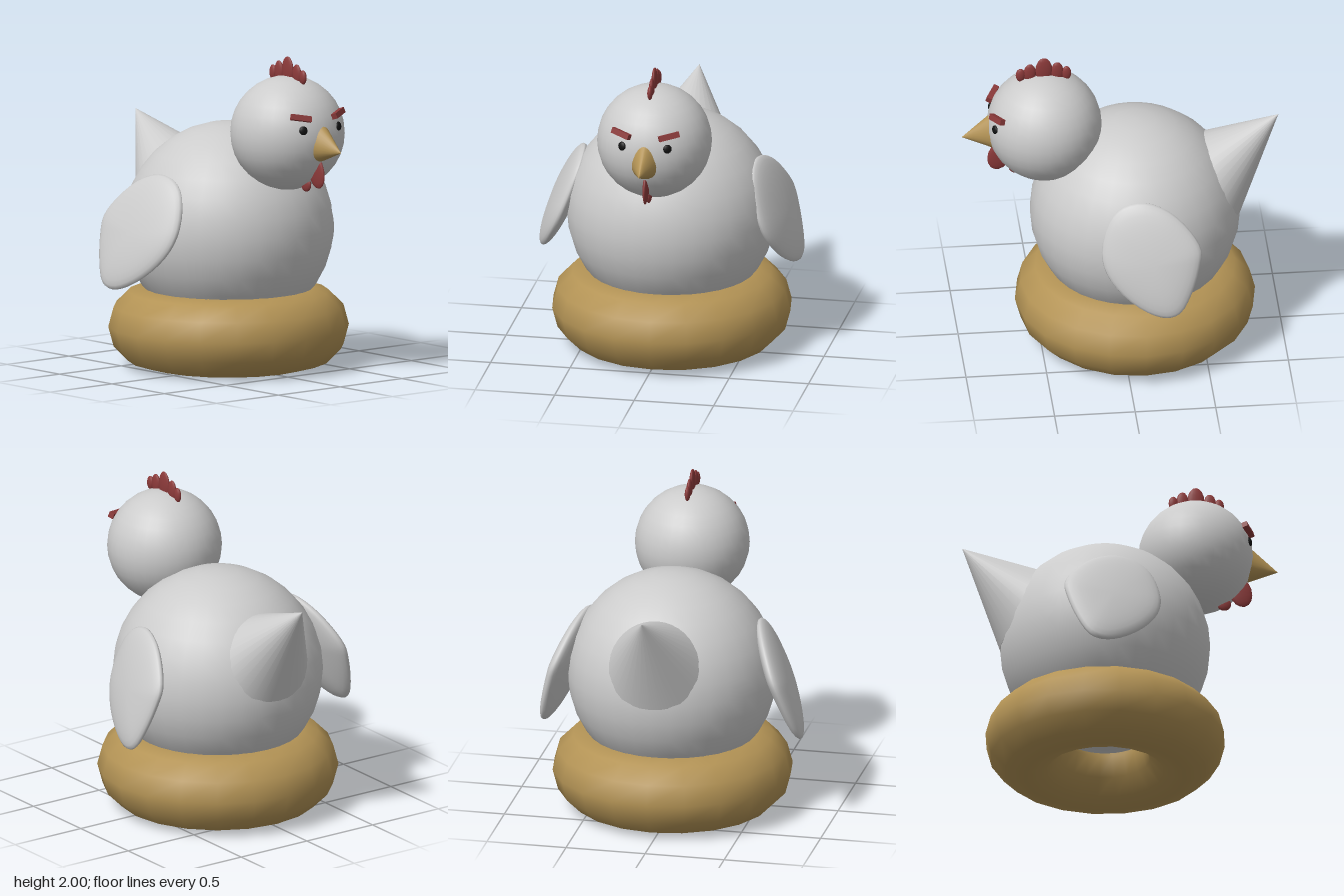
import * as THREE from 'three';
import { mergeVertices } from 'three/addons/utils/BufferGeometryUtils.js';

const CX = 0.025; // symmetry plane of the bird
const grey = new THREE.MeshStandardMaterial({ color: 0xcccccc });
const tan = new THREE.MeshStandardMaterial({ color: 0xb39355 });
const red = new THREE.MeshStandardMaterial({ color: 0x8c3a3a });
const black = new THREE.MeshStandardMaterial({ color: 0x111111 });

export function createModel() {
  const model = new THREE.Group();
  model.name = 'henOnRing';

  function add(name, geometry, material, x, y, z) {
    const mesh = new THREE.Mesh(geometry, material);
    mesh.name = name;
    mesh.position.set(x, y, z);
    model.add(mesh);
    return mesh;
  }
  function ellipsoid(name, material, x, y, z, rx, ry, rz, seg = 16) {
    const mesh = add(name, new THREE.SphereGeometry(1, seg, seg / 2), material, x, y, z);
    mesh.scale.set(rx, ry, rz);
    return mesh;
  }

  // Ring the bird sits on
  const ring = new THREE.TorusGeometry(0.495, 0.25, 12, 20).rotateX(Math.PI / 2);
  add('nestRing', ring, tan, CX, 0.25, -0.095);

  // Body and head
  ellipsoid('body', grey, CX, 0.875, -0.095, 0.65, 0.65, 0.65, 32);
  ellipsoid('head', grey, CX, 1.525, 0.468, 0.355, 0.355, 0.355, 32);

  // Tail: cone pointing up and back
  const axis = new THREE.Vector3(0, 0.689, -0.725).normalize();
  const tail = add('tail', new THREE.ConeGeometry(0.305, 0.62, 32).translate(0, -0.31, 0),
    grey, CX, 1.5, -0.985);
  tail.quaternion.setFromUnitVectors(new THREE.Vector3(0, 1, 0), axis);
  tail.scale.x = 1.1;

  // Beak: cone with an egg-shaped section, its tip sheared downwards
  const beak = new THREE.ConeGeometry(1, 1, 24, 4).rotateX(Math.PI / 2).translate(0, 0, -0.5);
  const bp = beak.attributes.position;
  for (let i = 0; i < bp.count; i++) {
    const x = bp.getX(i), y = bp.getY(i), z = bp.getZ(i);
    const r = Math.hypot(x, y) || 1;
    bp.setXYZ(i, x * 0.122 * (1 - 0.25 * y / r), y * 0.178 - z * 0.069, z * 0.28);
  }
  beak.computeVertexNormals();
  add('beak', beak, tan, CX, 1.455, 0.98);

  // Comb: five flat lobes, tallest in the middle
  const lobes = [
    [0.615, 1.885, 0.045, 0.03], [0.557, 1.895, 0.065, 0.039], [0.47, 1.91, 0.09, 0.053],
    [0.387, 1.895, 0.07, 0.039], [0.33, 1.885, 0.048, 0.03],
  ];
  lobes.forEach(([z, y, ry, rz], i) =>
    ellipsoid('combLobe' + (i + 1), red, CX, y, z, 0.017, ry, rz));

  // Wattle under the beak
  const wattle = ellipsoid('wattle', red, CX, 1.31, 0.745, 0.017, 0.105, 0.073);
  wattle.rotation.x = -0.3;
  ellipsoid('wattleLobe', red, CX, 1.22, 0.645, 0.017, 0.045, 0.045);

  // Wing outline as [z, y], starting at the rear and running over the top
  const outline = new THREE.CatmullRomCurve3([
    [-0.44, 0.97], [-0.38, 1.08], [-0.25, 1.2], [-0.1, 1.25], [0.03, 1.22], [0.12, 1.13],
    [0.17, 0.94], [0.145, 0.81], [0.05, 0.68], [-0.1, 0.575], [-0.22, 0.545], [-0.3, 0.575],
    [-0.37, 0.69], [-0.43, 0.87],
  ].map(([z, y]) => new THREE.Vector3(0, y, z)), true);

  // Wing: a thin lens with that outline, leaning outwards at the bottom and rear
  function wing(name, side, centreX, lean) {
    let g = new THREE.SphereGeometry(1, 42, 16);
    const p = g.attributes.position, uv = g.attributes.uv;
    for (let i = 0; i < p.count; i++) {
      const h = p.getY(i), rho = Math.hypot(p.getX(i), p.getZ(i));
      const edge = outline.getPoint(Math.min(1, Math.max(0, uv.getX(i))));
      const dy = rho * (edge.y - 0.9), dz = rho * (edge.z + 0.14);
      p.setXYZ(i, centreX - side * (lean * dy + 0.15 * dz) + h * 0.075, 0.9 + dy, -0.14 + dz);
    }
    g.deleteAttribute('uv');
    g.deleteAttribute('normal');
    g = mergeVertices(g);
    g.computeVertexNormals();
    add(name, g, grey, 0, 0, 0);
  }
  wing('leftWing', 1, 0.68, 0.3);
  wing('rightWing', -1, -0.665, 0.38);

  // Eyes and slanted brows
  for (const side of [1, -1]) {
    const label = side > 0 ? 'left' : 'right';
    const eye = ellipsoid(label + 'Eye', black, CX + side * 0.143, 1.588, 0.788, 0.027, 0.028, 0.012);
    eye.rotation.set(-0.18, side * 0.42, 0);
    const brow = add(label + 'Brow', new THREE.BoxGeometry(0.13, 0.035, 0.035), red,
      CX + side * 0.15, 1.665, 0.775);
    brow.rotation.set(-0.3, side * 0.42, side * 0.17, 'YXZ');
  }

  return model;
}
